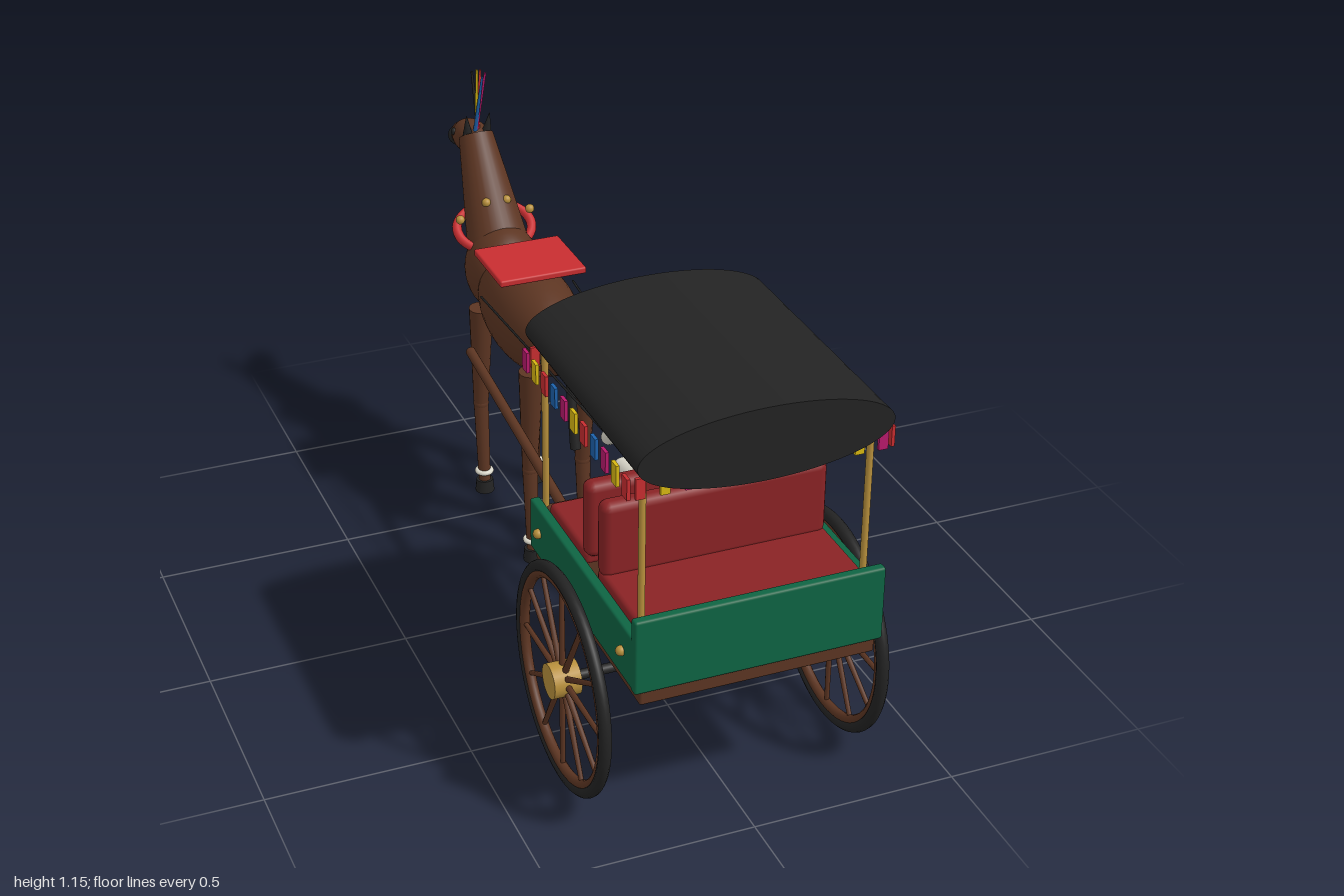
import * as THREE from 'three';
import { RoundedBoxGeometry } from 'three/addons/geometries/RoundedBoxGeometry.js';

const material = (name, color) => {
  const m = new THREE.MeshStandardMaterial({ color });
  m.name = name;
  return m;
};

export function createModel() {
  const brown = material('brown', 0x5c3522);
  const black = material('black', 0x232323);
  const gold = material('gold', 0xb8903c);
  const green = material('green', 0x0e6443);
  const maroon = material('maroon', 0x8a2325);
  const red = material('red', 0xc82d30);
  const cream = material('cream', 0xdcd9cc);
  const blue = material('blue', 0x1d62ac);
  const magenta = material('magenta', 0xb81a6c);
  const yellow = material('yellow', 0xd8b812);

  const model = new THREE.Group();
  model.name = 'horseCart';
  const group = (name) => {
    const g = new THREE.Group();
    g.name = name;
    model.add(g);
    return g;
  };

  // Helpers: every part is placed by centre or by its two ends
  const add = (parent, name, geometry, mat, x = 0, y = 0, z = 0) => {
    const mesh = new THREE.Mesh(geometry, mat);
    mesh.name = name;
    mesh.position.set(x, y, z);
    parent.add(mesh);
    return mesh;
  };
  const box = (p, name, mat, w, h, d, x, y, z, r = 0.006) =>
    add(p, name, new RoundedBoxGeometry(w, h, d, 2, r), mat, x, y, z);
  const ball = (p, name, mat, rx, ry, rz, x, y, z) => {
    const m = add(p, name, new THREE.SphereGeometry(1, 32, 20), mat, x, y, z);
    m.scale.set(rx, ry, rz);
    return m;
  };
  const rod = (p, name, mat, a, b, ra, rb = ra, sides = 16) => {
    const from = new THREE.Vector3(...a), to = new THREE.Vector3(...b);
    const dir = to.clone().sub(from);
    const m = add(p, name, new THREE.CylinderGeometry(rb, ra, dir.length(), sides), mat);
    m.position.copy(from).add(to).multiplyScalar(0.5);
    m.quaternion.setFromUnitVectors(new THREE.Vector3(0, 1, 0), dir.normalize());
    return m;
  };
  const sides = [-1, 1];

  // Cart body
  const cart = group('cart');
  box(cart, 'floor', brown, 0.56, 0.04, 0.635, 0, 0.42, 0.673);
  box(cart, 'backPanel', green, 0.59, 0.185, 0.025, 0, 0.5275, 0.985);
  box(cart, 'frontSeatBase', brown, 0.53, 0.12, 0.26, 0, 0.495, 0.505);
  box(cart, 'rearSeatBase', brown, 0.53, 0.12, 0.25, 0, 0.495, 0.835);
  box(cart, 'frontCushion', maroon, 0.54, 0.035, 0.23, 0, 0.568, 0.535, 0.012);
  box(cart, 'rearCushion', maroon, 0.54, 0.035, 0.24, 0, 0.568, 0.835, 0.012);
  for (const z of [0.64, 0.732])
    box(cart, 'seatBack', maroon, 0.54, 0.19, 0.048, 0, 0.667, z, 0.02);
  for (const s of sides) {
    box(cart, 'sidePanel', green, 0.025, 0.13, 0.63, s * 0.282, 0.503, 0.672);
    for (const z of [0.42, 0.925])
      ball(cart, 'stud', gold, 0.012, 0.012, 0.012, s * 0.298, 0.507, z);
    for (const z of [0.38, 0.95])
      rod(cart, 'canopyPost', gold, [s * 0.262, 0.54, z], [s * 0.262, 0.97, z], 0.008);
    rod(cart, 'shaft', brown, [s * 0.168, 0.422, 0.45], [s * 0.135, 0.486, -0.52], 0.013);
  }

  // Canopy: flattened cylinder fringed with small flags
  const canopy = group('canopy');
  const roof = add(canopy, 'roof', new THREE.CylinderGeometry(1, 1, 0.655, 64), black, 0, 0.992, 0.668);
  roof.rotation.x = Math.PI / 2;
  roof.scale.set(0.293, 1, 0.087);
  const flagColors = [red, yellow, magenta, blue];
  for (let i = 0; i < 11; i++) {
    const mat = flagColors[i % 4];
    for (const s of sides)
      add(canopy, 'sideFlag', new THREE.BoxGeometry(0.008, 0.05, 0.028), mat, s * 0.303, 0.935, 0.96 - i * 0.059);
    for (const z of [0.36, 0.975])
      add(canopy, 'endFlag', new THREE.BoxGeometry(0.022, 0.05, 0.008), mat, -0.278 + i * 0.0556, 0.935, z);
  }

  // Wheels and axle
  const running = group('wheels');
  rod(running, 'axle', black, [-0.33, 0.28, 0.675], [0.33, 0.28, 0.675], 0.012);
  for (const s of sides) {
    const wheel = new THREE.Group();
    wheel.name = 'wheel';
    wheel.position.set(s * 0.337, 0.28, 0.675);
    wheel.rotation.y = Math.PI / 2;
    running.add(wheel);
    add(wheel, 'tyre', new THREE.TorusGeometry(0.26, 0.015, 12, 64), black);
    add(wheel, 'rim', new THREE.TorusGeometry(0.244, 0.012, 10, 64), brown);
    rod(wheel, 'hub', gold, [0, 0, -0.033], [0, 0, 0.033], 0.042, 0.042, 24);
    for (let i = 0; i < 12; i++) {
      const a = (i * Math.PI) / 6, c = Math.cos(a), n = Math.sin(a);
      rod(wheel, 'spoke', brown, [c * 0.03, n * 0.03, 0], [c * 0.242, n * 0.242, 0], 0.008, 0.006, 8);
    }
  }

  // Driver
  const driver = group('driver');
  rod(driver, 'torso', cream, [0, 0.598, 0.501], [0, 0.805, 0.472], 0.076, 0.071, 28);
  ball(driver, 'head', brown, 0.053, 0.053, 0.053, 0, 0.888, 0.465);
  rod(driver, 'neck', brown, [0, 0.79, 0.472], [0, 0.86, 0.468], 0.022);
  for (const s of sides) {
    const shoulder = [s * 0.078, 0.765, 0.462], hand = [s * 0.08, 0.662, 0.315];
    const hip = [s * 0.045, 0.603, 0.49], knee = [s * 0.057, 0.592, 0.35], foot = [s * 0.057, 0.445, 0.3];
    rod(driver, 'arm', cream, shoulder, hand, 0.024, 0.019);
    ball(driver, 'shoulder', cream, 0.024, 0.024, 0.024, ...shoulder);
    ball(driver, 'hand', cream, 0.019, 0.019, 0.019, ...hand);
    rod(driver, 'thigh', cream, hip, knee, 0.03, 0.026);
    ball(driver, 'knee', cream, 0.026, 0.026, 0.026, ...knee);
    rod(driver, 'shin', cream, knee, foot, 0.026, 0.022);
    rod(driver, 'rein', black, hand, [s * 0.126, 0.677, -0.45], 0.003, 0.003, 6);
  }

  // Horse
  const horse = group('horse');
  ball(horse, 'barrel', brown, 0.113, 0.133, 0.26, 0, 0.62, -0.425);
  ball(horse, 'chest', brown, 0.1, 0.122, 0.115, 0, 0.653, -0.635);
  rod(horse, 'neck', brown, [0, 0.69, -0.66], [0, 0.955, -0.832], 0.085, 0.046, 28);
  ball(horse, 'head', brown, 0.045, 0.046, 0.08, 0, 0.935, -0.875).rotation.x = -0.2;
  ball(horse, 'snout', brown, 0.031, 0.036, 0.06, 0, 0.918, -0.93).rotation.x = -0.25;
  ball(horse, 'muzzle', black, 0.032, 0.028, 0.033, 0, 0.902, -0.966);
  rod(horse, 'tail', black, [0, 0.67, -0.168], [0, 0.385, -0.108], 0.01, 0.014);
  for (const s of sides) {
    ball(horse, 'eye', black, 0.008, 0.01, 0.01, s * 0.041, 0.947, -0.892);
    rod(horse, 'ear', black, [s * 0.026, 0.96, -0.822], [s * 0.032, 1.02, -0.812], 0.014, 0.001, 12);
    for (const z of [-0.235, -0.615]) {
      const x = s * 0.073;
      rod(horse, 'upperLeg', brown, [x, 0.56, z + 0.005], [x, 0.265, z - 0.012], 0.032, 0.02);
      ball(horse, 'knee', brown, 0.021, 0.021, 0.021, x, 0.265, z - 0.012);
      rod(horse, 'lowerLeg', brown, [x, 0.265, z - 0.012], [x, 0.03, z + 0.004], 0.02, 0.016);
      rod(horse, 'hoof', black, [x, 0, z + 0.004], [x, 0.035, z + 0.004], 0.026, 0.023);
      const band = add(horse, 'ankleBand', new THREE.TorusGeometry(0.019, 0.007, 10, 24), cream, x, 0.06, z + 0.002);
      band.rotation.x = Math.PI / 2;
    }
  }

  // Harness: saddle cloth, collar, bells and plume
  const harness = group('harness');
  box(harness, 'saddleCloth', red, 0.232, 0.018, 0.205, 0, 0.766, -0.428, 0.005);
  const collar = add(harness, 'collar', new THREE.TorusGeometry(0.102, 0.013, 12, 48), red, 0, 0.745, -0.698);
  collar.rotation.x = Math.PI / 2 + 0.56;
  collar.scale.y = 0.75;
  for (const s of sides) {
    ball(harness, 'bell', gold, 0.012, 0.012, 0.012, s * 0.028, 0.828, -0.678);
    ball(harness, 'bell', gold, 0.012, 0.012, 0.012, s * 0.097, 0.785, -0.69);
  }
  [blue, magenta, yellow, red, black].forEach((mat, i) => {
    const t = i - 2;
    rod(harness, 'plume', mat, [t * 0.003, 0.97, -0.825 - t * 0.002],
      [(i % 2 ? 0.016 : 0) - t * 0.003, 1.145 - Math.abs(t) * 0.006, -0.813 - t * 0.012], 0.006, 0.003, 8);
  });

  return model;
}
